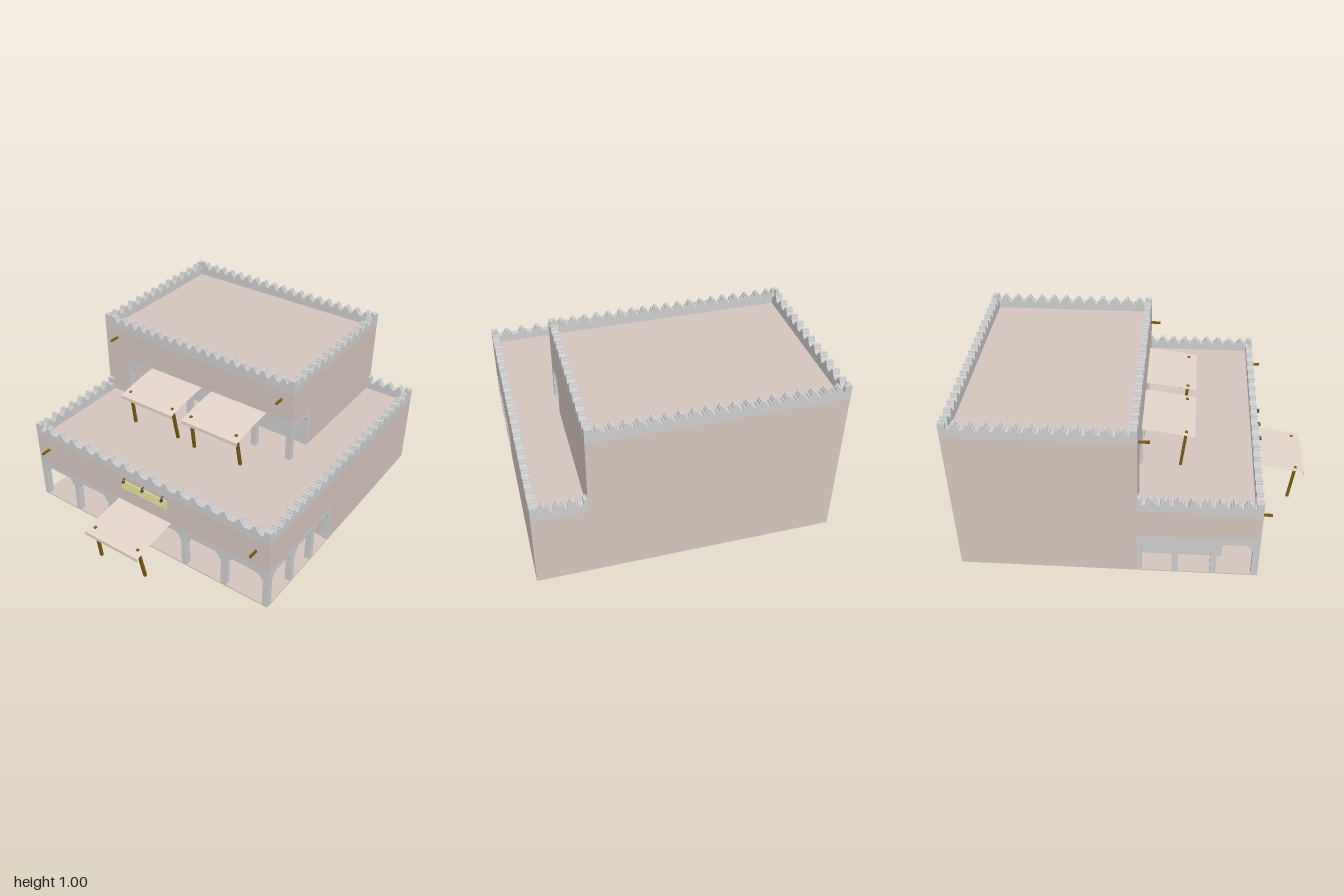
import * as THREE from 'three';
import { mergeGeometries } from 'three/addons/utils/BufferGeometryUtils.js';

const mat = (color) => new THREE.MeshStandardMaterial({ color, side: THREE.DoubleSide, flatShading: true });

export function createModel() {
  const root = new THREE.Group();
  root.name = 'courtyardBuilding';
  const stone = mat(0xcccccc), plaster = mat(0xd3c4bc), wood = mat(0x7a5a14);
  const cloth = mat(0xe3d3c8), yellow = mat(0xe6e29c), iron = mat(0x4a4038);

  const add = (name, geometry, material) => {
    const m = new THREE.Mesh(geometry, material);
    m.name = name;
    root.add(m);
    return m;
  };
  const box = (name, material, x0, x1, y0, y1, z0, z1) => {
    const g = new THREE.BoxGeometry(x1 - x0, y1 - y0, z1 - z0);
    g.translate((x0 + x1) / 2, (y0 + y1) / 2, (z0 + z1) / 2);
    return add(name, g, material);
  };
  // Square bar between two points
  const bar = (name, material, a, b, w) => {
    const p = new THREE.Vector3(...a), q = new THREE.Vector3(...b);
    const m = add(name, new THREE.BoxGeometry(w, p.distanceTo(q), w), material);
    m.position.copy(p).add(q).multiplyScalar(0.5);
    m.quaternion.setFromUnitVectors(new THREE.Vector3(0, 1, 0), q.sub(p).normalize());
  };

  // Wall with shouldered openings running down to its foot
  const arcade = (name, from, to, foot, head, top, openings, alongZ, x, z) => {
    const s = new THREE.Shape();
    s.moveTo(from, foot);
    for (const [a, b] of openings) {
      s.lineTo(a, foot);
      s.lineTo(a, head - 0.04);
      s.lineTo(a + 0.012, head - 0.035);
      s.quadraticCurveTo(a + 0.014, head - 0.01, a + 0.035, head - 0.007);
      s.lineTo(a + 0.037, head);
      s.lineTo(b - 0.037, head);
      s.lineTo(b - 0.035, head - 0.007);
      s.quadraticCurveTo(b - 0.014, head - 0.01, b - 0.012, head - 0.035);
      s.lineTo(b, head - 0.04);
      s.lineTo(b, foot);
    }
    s.lineTo(to, foot);
    s.lineTo(to, top);
    s.lineTo(from, top);
    const g = new THREE.ExtrudeGeometry(s, { depth: 0.035, bevelEnabled: false, curveSegments: 4 });
    if (alongZ) g.rotateY(-Math.PI / 2);
    add(name, g, stone).position.set(x, 0, z);
  };
  const bays = (from, to, n, pier) => Array.from({ length: n }, (_, i) => {
    const step = (to - from) / n;
    return [from + i * step + pier / 2, from + (i + 1) * step - pier / 2];
  });

  // Parapet strip topped with stepped merlons and a taller block at each end
  const T = 0.04;
  const parapet = (name, from, to, y, n, alongZ, side) => {
    const s = new THREE.Shape();
    [[-0.03, 0], [0.03, 0], [0.024, 0.012], [0.017, 0.014], [0.014, 0.027], [0.009, 0.029], [0.008, 0.037],
      [-0.008, 0.037], [-0.009, 0.029], [-0.014, 0.027], [-0.017, 0.014], [-0.024, 0.012]]
      .forEach(([px, py], i) => (i ? s.lineTo(px, py) : s.moveTo(px, py)));
    const merlon = new THREE.ExtrudeGeometry(s, { depth: T, bevelEnabled: false }).toNonIndexed();
    const strip = new THREE.BoxGeometry(to - from, 0.05, T).toNonIndexed();
    strip.translate((from + to) / 2, y - 0.025, T / 2);
    const parts = [strip];
    const step = (to - from) / n;
    for (let i = 1; i < n; i++) parts.push(merlon.clone().translate(from + i * step, y, 0));
    for (const c of [from + 0.01, to - 0.01]) {
      const end = new THREE.BoxGeometry(0.02, 0.037, T).toNonIndexed();
      parts.push(end.translate(c, y + 0.0185, T / 2));
    }
    const g = mergeGeometries(parts);
    if (alongZ) g.rotateY(-Math.PI / 2).translate(side + T, 0, 0);
    else g.translate(0, 0, side);
    add(name, g, stone);
  };

  // Ground floor: slab, hollow rear block, arcade core
  box('porchFloor', plaster, -0.85, 0.85, 0, 0.008, 0.02, 0.7);
  box('backWall', plaster, -0.85, 0.85, 0, 0.455, -1, -0.97);
  box('rightRearWall', plaster, 0.815, 0.85, 0, 0.455, -1, 0.03);
  box('leftRearWall', plaster, -0.85, -0.815, 0, 0.915, -1, 0.02);
  box('porchBackWall', plaster, -0.815, 0.815, 0.008, 0.455, 0, 0.03);
  box('porchCore', stone, -0.72, 0.675, 0.008, 0.25, 0.03, 0.5);
  box('porchCoreLedge', stone, -0.73, 0.685, 0.182, 0.194, 0.03, 0.51);
  box('porchCeiling', stone, -0.815, 0.815, 0.25, 0.27, 0.03, 0.665);
  box('lowerRoof', plaster, -0.815, 0.815, 0.445, 0.46, -0.97, 0.665);
  box('frontWall', plaster, -0.85, 0.85, 0.27, 0.455, 0.665, 0.7);
  box('leftFrontWall', plaster, -0.85, -0.815, 0.27, 0.455, 0.02, 0.665);
  box('rightFrontWall', plaster, 0.815, 0.85, 0.27, 0.455, 0.03, 0.665);

  arcade('frontArcade', -0.85, 0.85, 0, 0.23, 0.27, bays(-0.832, 0.832, 6, 0.036), false, 0, 0.665);
  const sideBays = [[0.04, 0.212], [0.248, 0.428], [0.464, 0.662]];
  arcade('rightArcade', 0.02, 0.7, 0, 0.23, 0.27, sideBays, true, 0.85, 0);
  arcade('leftArcade', 0.02, 0.7, 0, 0.23, 0.27, sideBays, true, -0.815, 0);

  // Upper storey: walls around a recessed gallery
  box('upperBackWall', plaster, -0.85, 0.55, 0.455, 0.915, -1, -0.97);
  box('upperRightWall', plaster, 0.515, 0.55, 0.455, 0.915, -1, -0.19);
  box('upperRightLintelWall', plaster, 0.515, 0.55, 0.73, 0.915, -0.19, 0.02);
  box('upperFrontWall', plaster, -0.85, 0.55, 0.73, 0.915, -0.015, 0.02);
  box('upperFrontLeftWall', plaster, -0.85, -0.685, 0.455, 0.73, -0.015, 0.02);
  box('galleryEndWall', plaster, -0.7, -0.67, 0.46, 0.73, -0.19, -0.015);
  box('galleryBackWall', stone, -0.67, 0.515, 0.46, 0.73, -0.2, -0.17);
  box('galleryLedge', stone, -0.67, 0.515, 0.638, 0.65, -0.17, -0.16);
  box('galleryCeiling', stone, -0.67, 0.515, 0.71, 0.73, -0.19, -0.015);
  box('upperRoof', plaster, -0.815, 0.515, 0.9, 0.918, -0.97, -0.015);
  arcade('upperFrontArcade', -0.685, 0.55, 0.455, 0.68, 0.73, bays(-0.68, 0.533, 5, 0.034), false, 0, -0.015);
  arcade('upperSideArcade', -0.19, 0.02, 0.455, 0.68, 0.73, [[-0.17, -0.015]], true, 0.55, 0);

  // Parapets
  parapet('lowerFrontParapet', -0.85, 0.85, 0.505, 17, false, 0.66);
  parapet('lowerRightParapet', -1, 0.7, 0.505, 22, true, 0.81);
  parapet('lowerLeftParapet', 0.02, 0.7, 0.505, 9, true, -0.85);
  parapet('lowerBackParapet', 0.55, 0.85, 0.505, 4, false, -1);
  parapet('upperFrontParapet', -0.85, 0.55, 0.963, 20, false, -0.02);
  parapet('upperBackParapet', -0.85, 0.55, 0.963, 20, false, -1);
  parapet('upperLeftParapet', -1, 0.02, 0.963, 13, true, -0.85);
  parapet('upperRightParapet', -1, 0.02, 0.963, 13, true, 0.51);

  // Cloth awnings on leaning posts
  const awning = (name, x0, x1, z0, yBack, foot, postXs) => {
    const g = new THREE.PlaneGeometry(x1 - x0, 0.3, 1, 8);
    g.rotateX(-Math.PI / 2).translate((x0 + x1) / 2, 0, z0 + 0.15);
    const p = g.attributes.position;
    for (let i = 0; i < p.count; i++) {
      const t = (p.getZ(i) - z0) / 0.3;
      p.setY(i, yBack - 0.025 * t - 0.02 * t * t);
    }
    g.computeVertexNormals();
    add(name, g, cloth);
    const flap = new THREE.PlaneGeometry(x1 - x0, 0.022);
    add(name + 'Flap', flap.translate((x0 + x1) / 2, yBack - 0.056, z0 + 0.3), cloth);
    postXs.forEach((x, i) =>
      bar(name + 'Post', wood, [x, foot, z0 + 0.222 - i * 0.02], [x, yBack - 0.03, z0 + 0.25], 0.016));
  };
  awning('entranceAwning', -0.2, 0.19, 0.7, 0.27, 0, [-0.165, 0.15]);
  awning('leftGalleryAwning', -0.02, 0.375, 0.02, 0.73, 0.46, [0.015, 0.335]);
  awning('rightGalleryAwning', -0.48, -0.09, 0.02, 0.73, 0.46, [-0.445, -0.125]);

  // Blank signboard with three lamps
  box('signboard', yellow, -0.165, 0.165, 0.365, 0.425, 0.7, 0.706);
  for (const x of [-0.14, 0, 0.14]) {
    bar('lampArm', iron, [x, 0.445, 0.7], [x, 0.448, 0.722], 0.005);
    const lamp = add('lampShade', new THREE.ConeGeometry(0.011, 0.02, 8), iron);
    lamp.position.set(x, 0.437, 0.722);
    lamp.rotation.x = 0.5;
  }

  // Beam ends poking out of the walls
  for (const [x, y, z] of [[-0.757, 0.382, 0.7], [0.765, 0.382, 0.7], [-0.757, 0.862, 0.02], [0.473, 0.862, 0.02]])
    bar('beamEnd', wood, [x, y, z - 0.02], [x, y, z + 0.06], 0.012);

  return root;
}
